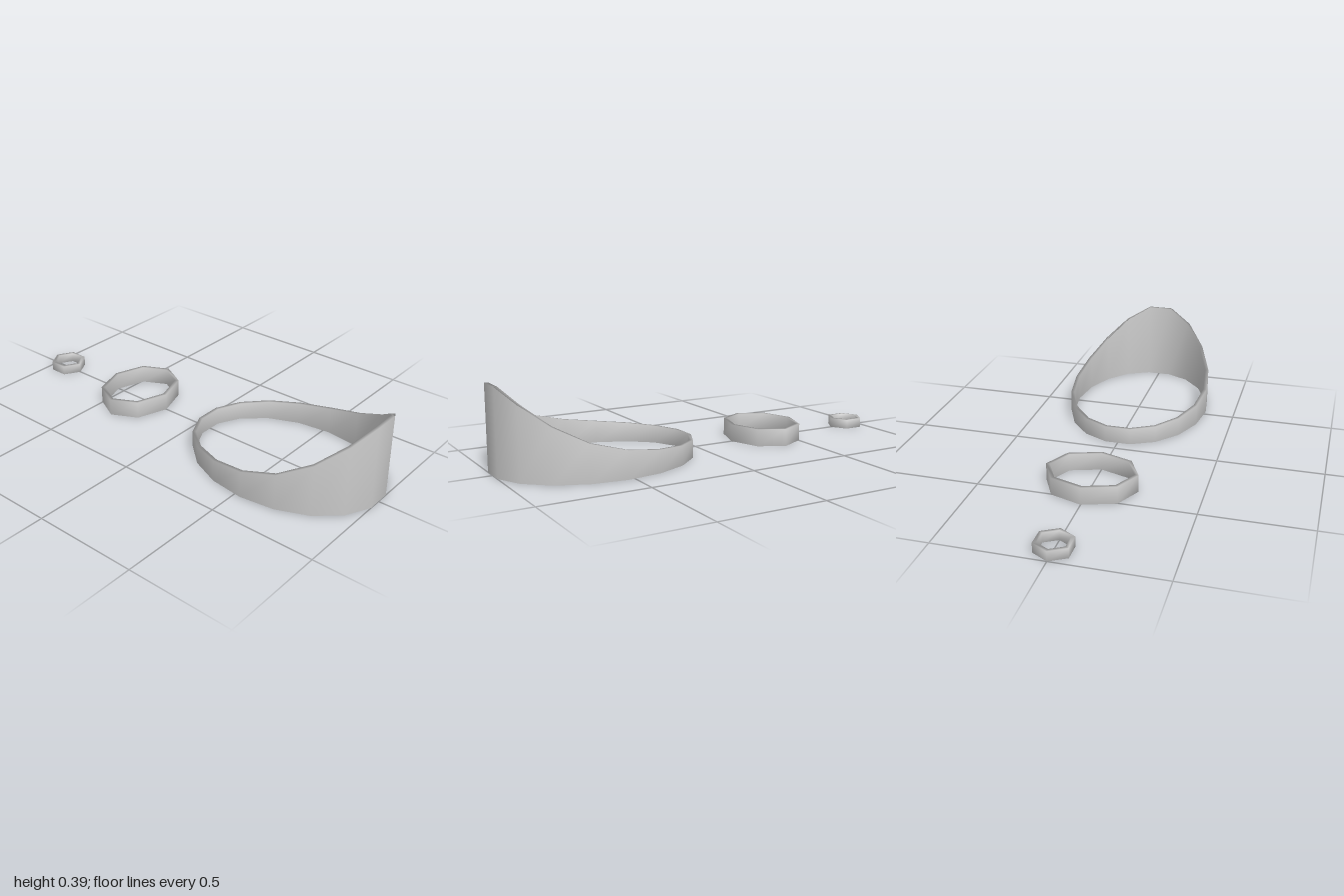
import * as THREE from 'three';

const material = new THREE.MeshStandardMaterial({ color: 0xcccccc });

// Faceted elliptical band: rectangular wall section swept round a closed loop.
// height(i) gives the wall height at corner i.
function band(name, { sides, phase = 0, rx, rz, z, wall, height }) {
  const positions = [], indices = [];
  for (let i = 0; i < sides; i++) {
    const a = phase + (i / sides) * Math.PI * 2;
    const s = Math.sin(a), c = Math.cos(a), h = height(i);
    // outer bottom, outer top, inner top, inner bottom
    for (const [inset, y] of [[0, 0], [0, h], [wall, h], [wall, 0]]) {
      positions.push((rx - inset) * s, y, z + (rz - inset) * c);
    }
    const j = (i + 1) % sides;
    for (let k = 0; k < 4; k++) {
      const n = (k + 1) % 4;
      const p = i * 4 + k, q = j * 4 + k, r = j * 4 + n, t = i * 4 + n;
      indices.push(p, q, r, p, r, t);
    }
  }
  const geometry = new THREE.BufferGeometry();
  geometry.setAttribute('position', new THREE.Float32BufferAttribute(positions, 3));
  geometry.setIndex(indices);
  geometry.computeVertexNormals();
  const mesh = new THREE.Mesh(geometry, material);
  mesh.name = name;
  return mesh;
}

export function createModel() {
  const group = new THREE.Group();
  group.name = 'bandSet';

  // Large band: wall sweeps up to a tall crest at the front
  const crest = [0.392, 0.33, 0.244, 0.17, 0.127, 0.104, 0.091, 0.083, 0.08];
  group.add(band('largeCrestedBand', {
    sides: 18, phase: Math.PI / 18, rx: 0.353, rz: 0.477, z: 0.53, wall: 0.017,
    height: (i) => crest[Math.min(i, 17 - i)],
  }));

  // Middle eight-sided band
  group.add(band('middleBand', {
    sides: 8, rx: 0.214, rz: 0.174, z: -0.38, wall: 0.018, height: () => 0.083,
  }));

  // Small six-sided band
  group.add(band('smallBand', {
    sides: 6, rx: 0.088, rz: 0.088, z: -0.912, wall: 0.018, height: () => 0.046,
  }));

  return group;
}
